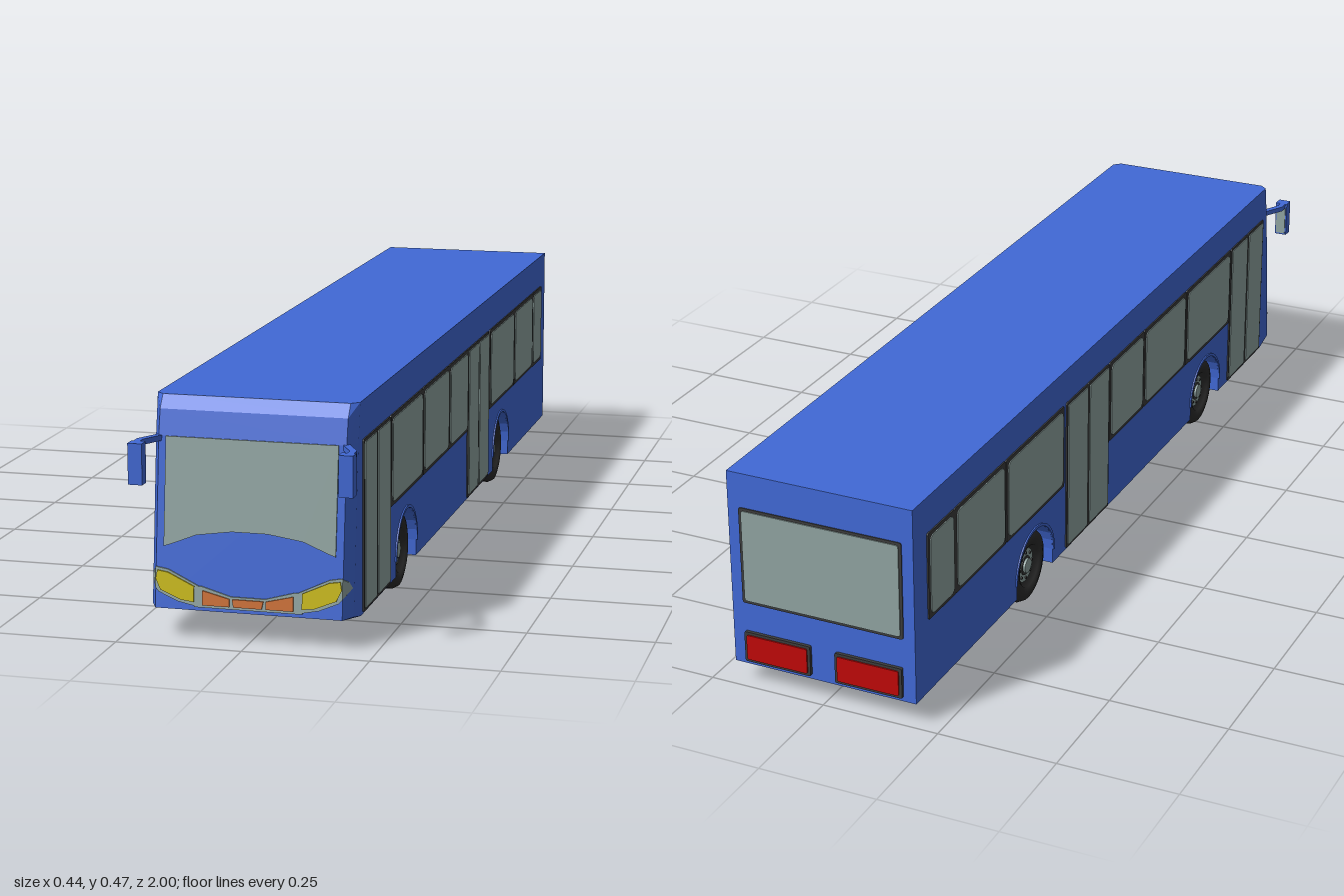
import * as THREE from 'three';
import { ConvexGeometry } from 'three/addons/geometries/ConvexGeometry.js';

const mat = (name, color, side = THREE.FrontSide) => {
  const m = new THREE.MeshStandardMaterial({ color, side });
  m.name = name;
  return m;
};

export function createModel() {
  const bus = new THREE.Group();
  bus.name = 'cityBus';
  const blue = mat('blue paint', 0x4169d6);
  const glass = mat('grey glass', 0x90a4a1);
  const dark = mat('dark frame', 0x3c3c3c);
  const rubber = mat('tyre rubber', 0x2b2b2b);
  const yellow = mat('headlight yellow', 0xc8b80a);
  const orange = mat('signal orange', 0xcb6e33);
  const red = mat('tail light red', 0xc00808);

  const add = (name, geometry, material, parent = bus) => {
    const m = new THREE.Mesh(geometry, material);
    m.name = name;
    parent.add(m);
    return m;
  };
  const polygon = pts => new THREE.Shape(pts.map(p => new THREE.Vector2(p[0], p[1])));
  const extrude = (shape, depth) =>
    new THREE.ExtrudeGeometry(shape, { depth, bevelEnabled: false, curveSegments: 4 });

  // Rounded rectangle plate, centred, facing +z
  const plate = (w, h, r, t) => {
    const s = new THREE.Shape(), x = w / 2, y = h / 2;
    s.moveTo(-x + r, -y).lineTo(x - r, -y).quadraticCurveTo(x, -y, x, -y + r);
    s.lineTo(x, y - r).quadraticCurveTo(x, y, x - r, y);
    s.lineTo(-x + r, y).quadraticCurveTo(-x, y, -x, y - r);
    s.lineTo(-x, -y + r).quadraticCurveTo(-x, -y, -x + r, -y);
    return extrude(s, t);
  };

  // Main body: side profile with wheel arches, extruded across the width
  const axles = [0.5, -0.45], archR = 0.088, hubY = 0.08, floor = 0.047;
  const profile = [[-0.87, floor]];
  for (const z of axles) {
    profile.push([-z - archR, floor]);
    for (let i = 0; i <= 12; i++) {
      const a = Math.PI * (1 - i / 12);
      profile.push([-z + archR * Math.cos(a), hubY + archR * Math.sin(a)]);
    }
    profile.push([-z + archR, floor]);
  }
  profile.push([0.99, floor], [0.99, 0.465], [-0.87, 0.465]);
  const body = extrude(polygon(profile), 0.4);
  body.rotateY(Math.PI / 2).translate(-0.2, 0, 0);
  add('body', body, blue);

  // Sloped nose with chamfered corners
  const nose = [];
  for (const [y, z] of [[0.06, 0.953], [0.39, 0.916], [0.44, 0.905], [0.465, 0.886]])
    for (const s of [-1, 1])
      nose.push(new THREE.Vector3(s * 0.185, y, z),
        new THREE.Vector3(s * 0.2, y, Math.max(z - 0.03, 0.872)));
  for (const y of [floor, 0.465])
    for (const s of [-1, 1]) nose.push(new THREE.Vector3(s * 0.2, y, 0.87));
  add('nose', new ConvexGeometry(nose), blue);

  // Thin plate sheared to lie on the sloped front
  const frontPlate = (name, pts, t, material) => {
    const g = extrude(polygon(pts), t), p = g.attributes.position;
    for (let i = 0; i < p.count; i++) {
      const over = Math.max(0, Math.abs(p.getX(i)) - 0.185);
      p.setZ(i, p.getZ(i) + 0.953 - (p.getY(i) - 0.06) * 0.112 - over * 2);
    }
    g.computeVertexNormals();
    return add(name, g, material);
  };
  frontPlate('windscreen', [[-0.17, 0.18], [-0.155, 0.185], [-0.105, 0.205], [-0.035, 0.215],
    [0.035, 0.215], [0.105, 0.205], [0.155, 0.185], [0.17, 0.18], [0.17, 0.39], [-0.17, 0.39]],
  0.003, glass);
  frontPlate('lampBand', [[-0.107, 0.067], [0.107, 0.067], [0.107, 0.107], [0.092, 0.107],
    [0.034, 0.091], [-0.034, 0.091], [-0.092, 0.107], [-0.107, 0.107]], 0.003, glass);
  frontPlate('centreSignal', [[-0.028, 0.072], [0.028, 0.072], [0.031, 0.087], [-0.031, 0.087]],
    0.006, orange);
  for (const s of [-1, 1]) {
    const flip = pts => pts.map(([x, y]) => [s * x, y]);
    frontPlate('headlightSurround', flip([[0.1, 0.068], [0.14, 0.076], [0.178, 0.092],
      [0.185, 0.1], [0.185, 0.14], [0.16, 0.136], [0.1, 0.108]]), 0.003, glass);
    frontPlate('headlightWing', flip([[0.185, 0.1], [0.198, 0.116], [0.193, 0.13], [0.185, 0.138]]),
      0.003, glass);
    frontPlate('headlight', flip([[0.107, 0.077], [0.132, 0.08], [0.174, 0.097], [0.184, 0.118],
      [0.181, 0.134], [0.16, 0.131], [0.107, 0.107]]), 0.006, yellow);
    frontPlate('sideSignal', flip([[0.036, 0.072], [0.09, 0.072], [0.09, 0.1], [0.036, 0.087]]),
      0.006, orange);
  }

  // Side panes as [front z, back z, bottom y]; the low ones are door leaves
  const windows = [[0.64, 0.365, 0.205], [0.362, 0.118, 0.205], [0.116, -0.073, 0.205],
    [-0.31, -0.59, 0.205], [-0.593, -0.82, 0.205], [-0.82, -0.935, 0.205]];
  const doors = [[0.857, 0.754, 0.051], [0.754, 0.645, 0.051],
    [-0.076, -0.186, 0.051], [-0.186, -0.297, 0.051]];
  for (const s of [-1, 1]) {
    const side = new THREE.Group();
    side.name = s > 0 ? 'leftSide' : 'rightSide';
    bus.add(side);
    const pane = (name, [z0, z1, y0], border, round) => {
      const w = z0 - z1, h = 0.39 - y0;
      const parts = [add(name + 'Frame', plate(w, h, 0.004, 0.004), dark, side),
        add(name + 'Glass', plate(w - 2 * border, h - 2 * border, round, 0.006), glass, side)];
      for (const m of parts) {
        m.rotation.y = s * Math.PI / 2;
        m.position.set(s * 0.199, y0 + h / 2, (z0 + z1) / 2);
      }
    };
    windows.forEach(w => pane('window', w, 0.008, 0.015));
    doors.forEach(d => pane('door', d, 0.006, 0.004));

    // Wheel arch lips
    for (const z of axles) {
      const lip = new THREE.Shape();
      lip.absarc(0, 0, 0.094, 0, Math.PI, false);
      lip.absarc(0, 0, archR, Math.PI, 0, true);
      const m = add('archLip', new THREE.ExtrudeGeometry(lip,
        { depth: 0.004, bevelEnabled: false, curveSegments: 12 }), blue, side);
      m.rotation.y = s * Math.PI / 2;
      m.position.set(s * 0.199, hubY, z);
    }

    // Mirror on a bent arm, with its glass facing back
    const arm = extrude(polygon([[0.17, -0.9], [0.185, -0.9], [0.215, -0.955], [0.215, -0.99],
      [0.202, -0.99], [0.202, -0.96]].map(([x, y]) => [s * x, y])), 0.011);
    arm.rotateX(-Math.PI / 2).translate(0, 0.38, 0);
    add('mirrorArm', arm, blue, side);
    add('mirrorHousing', new THREE.BoxGeometry(0.028, 0.08, 0.024), blue, side)
      .position.set(s * 0.205, 0.351, 0.988);
    add('mirrorGlass', new THREE.BoxGeometry(0.022, 0.066, 0.003), glass, side)
      .position.set(s * 0.205, 0.348, 0.975);
  }

  // Rear window and tail lights
  const rear = (name, geometry, material, x, y) => {
    const m = add(name, geometry, material);
    m.rotation.y = Math.PI;
    m.position.set(x, y, -0.989);
  };
  rear('rearWindowFrame', plate(0.352, 0.208, 0.006, 0.003), dark, 0, 0.288);
  rear('rearWindow', plate(0.34, 0.196, 0.006, 0.005), glass, 0, 0.288);
  for (const s of [-1, 1]) {
    rear('tailLightFrame', plate(0.146, 0.066, 0.004, 0.008), dark, s * 0.1, 0.089);
    rear('tailLight', plate(0.134, 0.054, 0.004, 0.011), red, s * 0.1, 0.089);
  }

  // Wheels: lathed tyre, recessed rim, hub cap and bolts
  const tyre = new THREE.LatheGeometry([[0, -0.026], [0.06, -0.026], [0.074, -0.023], [0.08, -0.012],
    [0.08, 0.012], [0.074, 0.023], [0.06, 0.027], [0.046, 0.024], [0.042, 0.01], [0, 0.01]]
    .map(p => new THREE.Vector2(p[0], p[1])), 28).rotateZ(-Math.PI / 2);
  const disc = (r, t) => new THREE.CylinderGeometry(r, r, t, 20).rotateZ(-Math.PI / 2);
  const rim = disc(0.037, 0.008), ring = disc(0.021, 0.004), cap = disc(0.016, 0.008);
  const bolt = new THREE.CylinderGeometry(0.003, 0.003, 0.004, 6).rotateZ(-Math.PI / 2);
  for (const z of axles) for (const s of [-1, 1]) {
    const wheel = new THREE.Group();
    wheel.name = 'wheel';
    wheel.position.set(s * 0.163, hubY, z);
    wheel.rotation.y = s > 0 ? 0 : Math.PI;
    bus.add(wheel);
    add('tyre', tyre, rubber, wheel);
    add('rim', rim, glass, wheel).position.x = 0.011;
    add('hubRing', ring, dark, wheel).position.x = 0.015;
    add('hubCap', cap, glass, wheel).position.x = 0.018;
    for (let i = 0; i < 8; i++) {
      const a = i * Math.PI / 4;
      add('bolt', bolt, dark, wheel).position.set(0.016, 0.029 * Math.sin(a), 0.029 * Math.cos(a));
    }
  }
  return bus;
}
